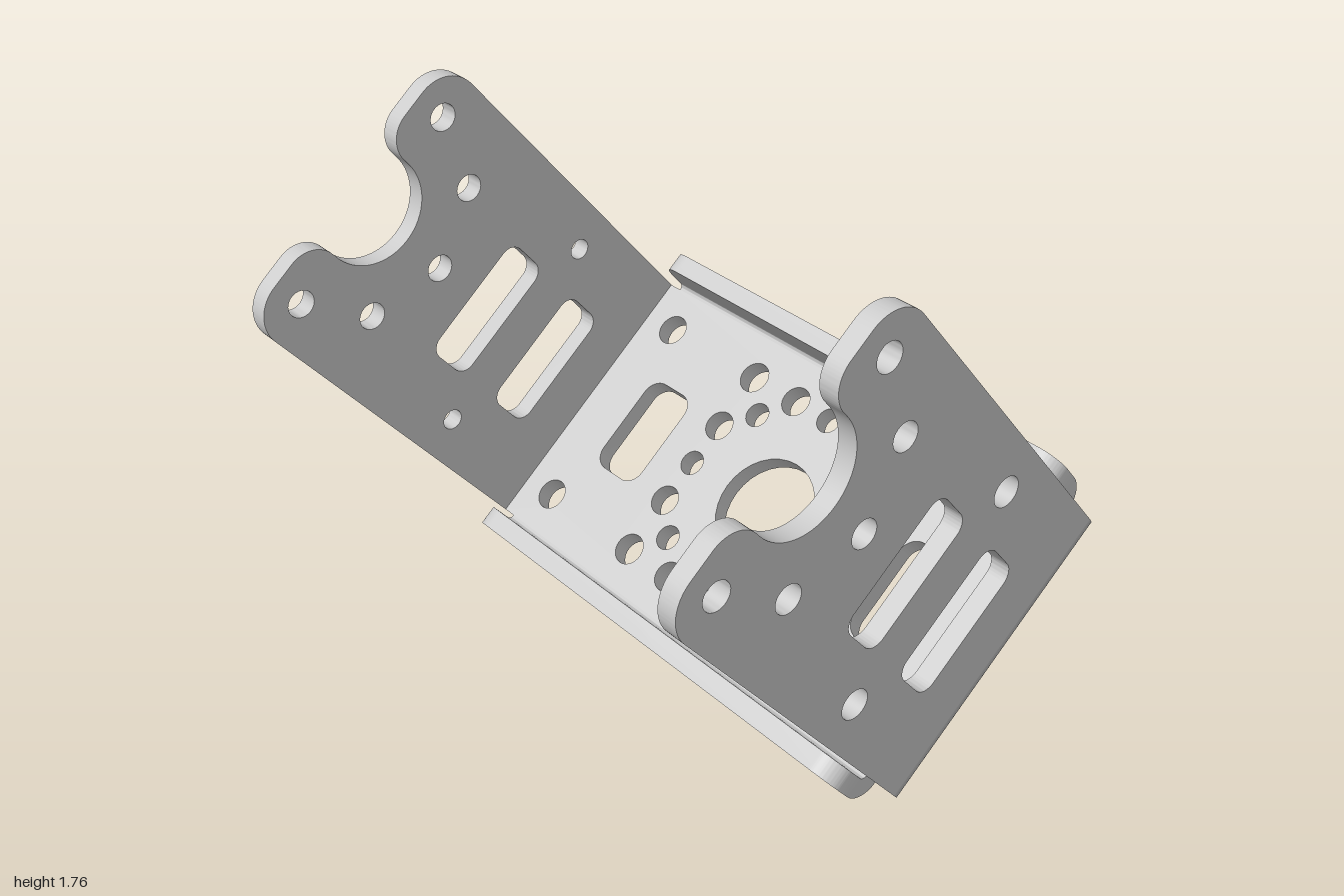
import * as THREE from 'three';
import { toCreasedNormals } from 'three/addons/utils/BufferGeometryUtils.js';

const T = 0.067;      // sheet thickness
const HALF = 0.5045;  // half width of base and side plates
const BOLT = 0.364;   // bolt circle radius
const PI = Math.PI;

const material = new THREE.MeshStandardMaterial({ color: 0xcccccc });

function extrude(shape, depth) {
  const g = new THREE.ExtrudeGeometry(shape, { depth, bevelEnabled: false, curveSegments: 16 });
  return toCreasedNormals(g, 0.5);
}

function part(name, geometry) {
  const mesh = new THREE.Mesh(geometry, material);
  mesh.name = name;
  return mesh;
}

function hole(shape, x, y, r) {
  shape.holes.push(new THREE.Path().absarc(x, y, r, 0, 2 * PI, true));
}

// Rounded rectangular window centred on (cx, cy)
function slot(shape, cx, cy, w, h, r) {
  const a = w / 2 - r, b = h / 2 - r, p = new THREE.Path();
  p.absarc(cx + a, cy + b, r, 0, PI / 2, false);
  p.absarc(cx - a, cy + b, r, PI / 2, PI, false);
  p.absarc(cx - a, cy - b, r, PI, 1.5 * PI, false);
  p.absarc(cx + a, cy - b, r, 1.5 * PI, 2 * PI, false);
  p.closePath();
  shape.holes.push(p);
}

// Quarter-round sheet bend, centred along its length
function bend(inner, length) {
  const s = new THREE.Shape(), outer = inner + T;
  s.absarc(0, outer, outer, -PI / 2, 0, false);
  if (inner > 0) s.absarc(0, outer, inner, 0, -PI / 2, true);
  else s.lineTo(0, outer);
  s.closePath();
  return extrude(s, length).translate(0, 0, -length / 2);
}

// Base plate with mounting holes
function basePlate() {
  const W = 1 - T, s = new THREE.Shape();
  s.moveTo(-HALF, -W).lineTo(HALF, -W).lineTo(HALF, W).lineTo(-HALF, W).closePath();
  hole(s, 0, 0, 0.183);
  for (let i = 0; i < 8; i++) {
    hole(s, BOLT * Math.cos(i * PI / 4), BOLT * Math.sin(i * PI / 4), 0.044);
  }
  for (const i of [-1, 1]) {
    slot(s, 0, i * 0.625, 0.364, 0.21, 0.06);
    for (const j of [-1, 1]) {
      hole(s, i * BOLT, j * BOLT, 0.055);
      hole(s, i * BOLT, j * 0.797, 0.055);
      hole(s, i * BOLT, j * 0.158, 0.053);
      hole(s, i * 0.158, j * BOLT, 0.053);
    }
  }
  return extrude(s, T).rotateX(-PI / 2);
}

// Side plate: two rounded ears around a round notch
function sidePlate(pinRadius) {
  const s = new THREE.Shape(), top = 1.487, r = 0.13, e = 0.102, n = 0.183, cy = 1.366;
  s.moveTo(-HALF, T).lineTo(HALF, T);
  s.absarc(HALF - r, top - r, r, 0, PI / 2, false);
  s.absarc(n + e, top - e, e, PI / 2, PI, false);
  s.absarc(0, cy, n, 0, -PI, true);
  s.absarc(-n - e, top - e, e, 0, PI / 2, false);
  s.absarc(-HALF + r, top - r, r, PI / 2, PI, false);
  s.closePath();
  for (let i = 0; i < 5; i++) {
    const a = PI + i * PI / 4;
    hole(s, BOLT * Math.cos(a), cy + BOLT * Math.sin(a), 0.046);
  }
  slot(s, 0, 0.723, 0.45, 0.19, 0.05);
  slot(s, 0, 0.36, 0.45, 0.19, 0.05);
  for (const i of [-1, 1]) hole(s, i * BOLT, 0.548, pinRadius);
  return extrude(s, T).translate(0, 0, -T / 2);
}

// Low stiffening flange with rounded upper corners
function stiffener(name) {
  const g = new THREE.Group(), inner = 0.018, R = inner + T, L = 0.885, H = 0.225, r = 0.08;
  g.name = name;
  const s = new THREE.Shape();
  s.moveTo(-L, R).lineTo(L, R);
  s.absarc(L - r, H - r, r, 0, PI / 2, false);
  s.absarc(-L + r, H - r, r, PI / 2, PI, false);
  s.closePath();
  g.add(part(name + 'Wall', extrude(s, T).rotateY(-PI / 2).translate(HALF + R, 0, 0)));
  g.add(part(name + 'Bend', bend(inner, 2 * L).translate(HALF, 0, 0)));
  return g;
}

export function createModel() {
  const model = new THREE.Group();
  model.name = 'bracket';
  const tilted = new THREE.Group();
  tilted.name = 'tiltedBracket';
  model.add(tilted);

  tilted.add(part('basePlate', basePlate()));

  // Front and back plates with their bends
  for (const [name, side] of [['front', 1], ['back', -1]]) {
    const plate = part(name + 'Plate', sidePlate(side > 0 ? 0.05 : 0.036));
    plate.position.z = side * (1 - T / 2);
    const corner = part(name + 'Bend', bend(0, 2 * HALF).rotateY(-side * PI / 2));
    corner.position.z = side * (1 - T);
    tilted.add(plate, corner);
  }

  // Flanges on the two long edges
  const left = stiffener('leftFlange');
  const right = stiffener('rightFlange');
  right.rotation.y = PI;
  tilted.add(left, right);

  tilted.rotation.z = 39.3 * PI / 180;
  tilted.position.set(0.427, 0.34, 0);
  return model;
}
